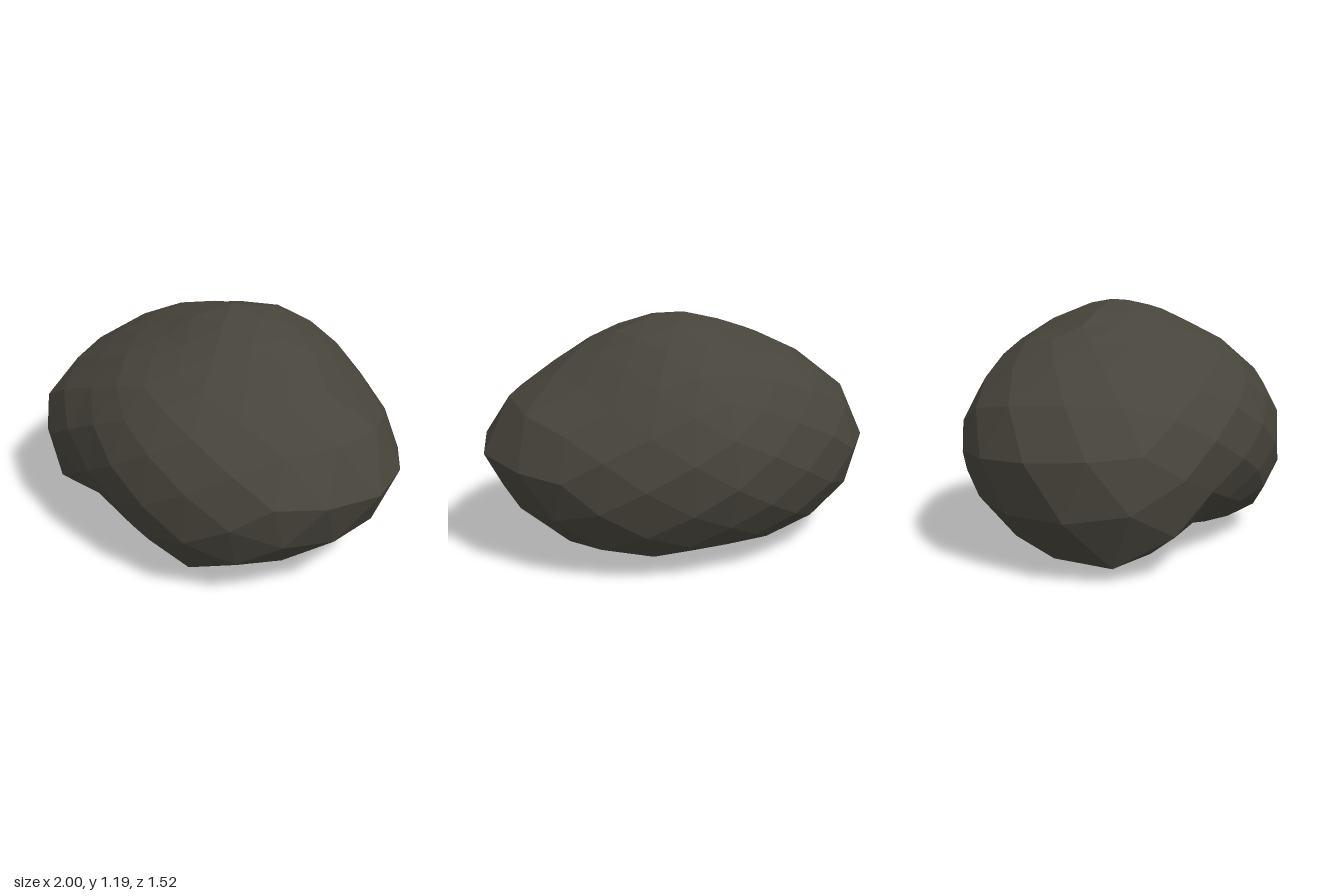
import * as THREE from 'three';

// Radii from the core: rows every 30 degrees of latitude (bottom pole to top pole),
// columns every 30 degrees of azimuth, from +x towards +z.
const CORE_HEIGHT = 0.55;
const RADII = [
  [0.55],
  [0.595, 0.615, 0.615, 0.57, 0.52, 0.485, 0.54, 0.58, 0.585, 0.585, 0.585, 0.59],
  [0.79, 0.82, 0.825, 0.72, 0.725, 0.99, 0.925, 0.80, 0.735, 0.71, 0.765, 0.825],
  [1.01, 0.935, 0.82, 0.77, 0.805, 0.975, 0.985, 0.89, 0.765, 0.765, 0.785, 0.89],
  [0.76, 0.73, 0.71, 0.695, 0.69, 0.71, 0.755, 0.745, 0.70, 0.70, 0.70, 0.70],
  [0.66, 0.64, 0.61, 0.59, 0.585, 0.60, 0.63, 0.61, 0.615, 0.645, 0.66, 0.66],
  [0.64],
];

// Catmull-Rom through evenly spaced samples
function spline(sample, t) {
  const i = Math.floor(t), f = t - i;
  const [a, b, c, d] = [sample(i - 1), sample(i), sample(i + 1), sample(i + 2)];
  return b + 0.5 * f * (c - a + f * (2 * a - 5 * b + 4 * c - d + f * (3 * (b - c) + d - a)));
}

function rockRadius(dir) {
  const lat = Math.asin(THREE.MathUtils.clamp(dir.y, -1, 1)) / (Math.PI / 6) + 3;
  const az = Math.atan2(dir.z, dir.x) / (Math.PI / 6) + 12;
  const row = (j) => {
    const r = RADII[THREE.MathUtils.clamp(j, 0, 6)];
    return spline((k) => r[k % r.length], az);
  };
  return spline(row, lat);
}

export function createModel() {
  const group = new THREE.Group();
  group.name = 'boulder';

  // Faceted sphere, tilted so its edges run unevenly, pushed out to the boulder's radii
  const geometry = new THREE.IcosahedronGeometry(1, 3);
  geometry.rotateX(-0.08);
  const pos = geometry.attributes.position;
  const v = new THREE.Vector3();
  for (let i = 0; i < pos.count; i++) {
    v.fromBufferAttribute(pos, i).normalize();
    v.multiplyScalar(rockRadius(v));
    pos.setXYZ(i, v.x, v.y + CORE_HEIGHT, v.z);
  }
  geometry.computeVertexNormals();

  const material = new THREE.MeshStandardMaterial({ color: 0x47443b, flatShading: true });
  const rock = new THREE.Mesh(geometry, material);
  rock.name = 'rock';
  group.add(rock);
  return group;
}
